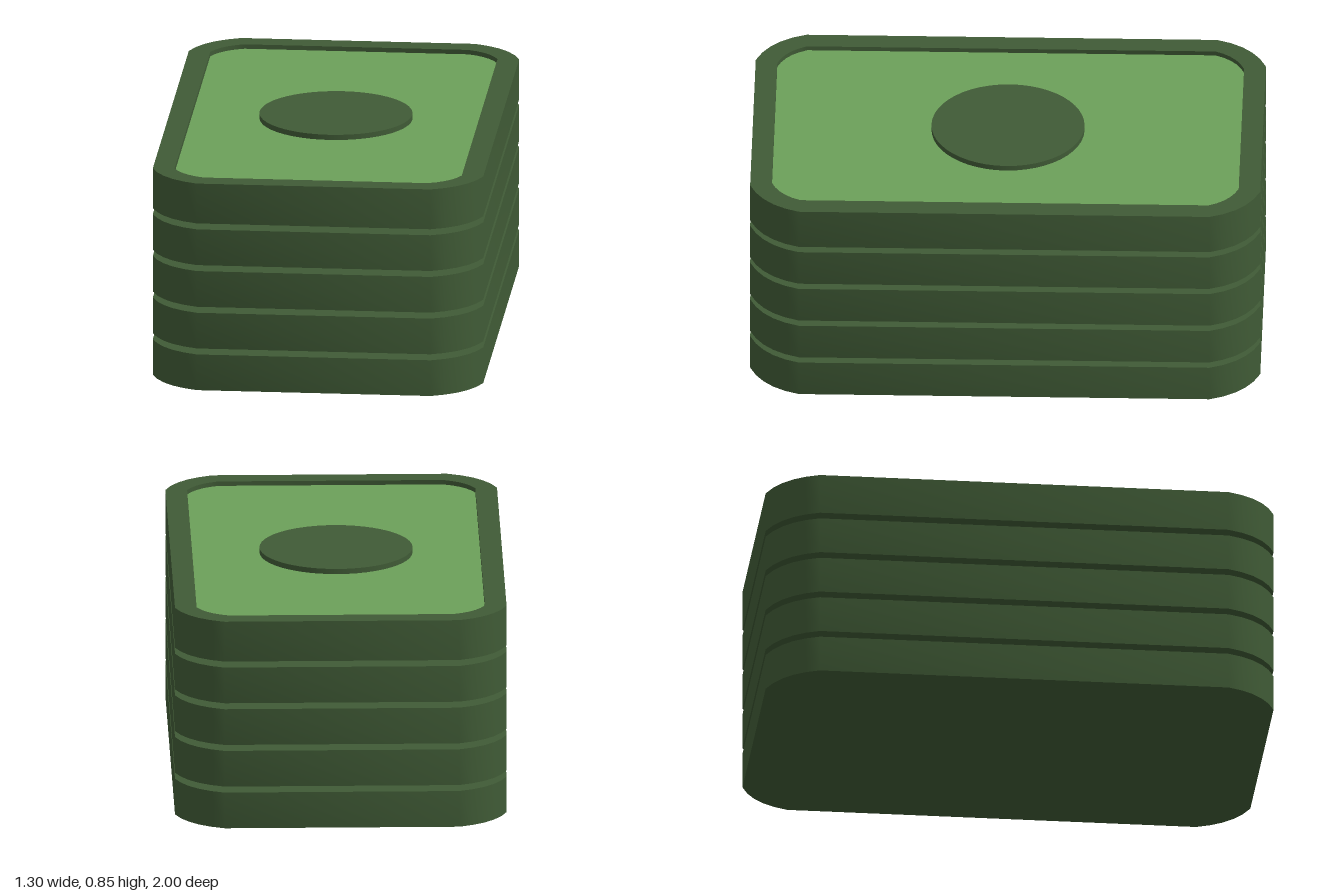
import * as THREE from 'three';
import { toCreasedNormals } from 'three/addons/utils/BufferGeometryUtils.js';

const dark = new THREE.MeshStandardMaterial({ color: 0x405b36 });
const green = new THREE.MeshStandardMaterial({ color: 0x6ca05a });

// Rectangle with softly cut corners; (cx, cz) is where the straight sides end,
// (qx, qz) bends the corner curve.
function outline(Type, x, z, cx, cz, qx, qz) {
  const s = new Type();
  s.moveTo(cx, -z);
  s.quadraticCurveTo(qx, -qz, x, -cz);
  s.lineTo(x, cz);
  s.quadraticCurveTo(qx, qz, cx, z);
  s.lineTo(-cx, z);
  s.quadraticCurveTo(-qx, qz, -x, cz);
  s.lineTo(-x, -cz);
  s.quadraticCurveTo(-qx, -qz, -cx, -z);
  s.closePath();
  return s;
}
const outer = (Type) => outline(Type, 0.65, 1, 0.46, 0.805, 0.605, 0.95);
const inner = (Type) => outline(Type, 0.565, 0.915, 0.44, 0.8, 0.53, 0.885);

function add(parent, name, geometry, material, y) {
  const mesh = new THREE.Mesh(geometry, material);
  mesh.name = name;
  mesh.position.y = y;
  parent.add(mesh);
}

// One bundle: rim wall, underside, recessed panel and centre disc
function makeBundle(height) {
  const bundle = new THREE.Group();
  const recess = 0.018;

  const frame = outer(THREE.Shape);
  frame.holes.push(inner(THREE.Path));
  const rim = new THREE.ExtrudeGeometry(frame, { depth: height, bevelEnabled: false, curveSegments: 5 });
  rim.rotateX(-Math.PI / 2);
  add(bundle, 'rim', toCreasedNormals(rim, 0.7), dark, 0);

  const base = new THREE.ShapeGeometry(inner(THREE.Shape), 5).rotateX(Math.PI / 2);
  add(bundle, 'underside', base, dark, 0);

  const panel = new THREE.ShapeGeometry(inner(THREE.Shape), 5).rotateX(-Math.PI / 2);
  add(bundle, 'panel', panel, green, height - recess);

  const thickness = recess + 0.003;
  const disc = new THREE.CylinderGeometry(0.3, 0.3, thickness, 48);
  add(bundle, 'disc', disc, dark, height - recess + thickness / 2);
  return bundle;
}

export function createModel() {
  const model = new THREE.Group();
  model.name = 'stackedBundles';
  const count = 5;
  for (let i = 0; i < count; i++) {
    // The top bundle is slightly thicker
    const bundle = makeBundle(i === count - 1 ? 0.163 : 0.146);
    bundle.name = `bundle${i + 1}`;
    bundle.position.y = i * 0.1705;
    model.add(bundle);
  }
  return model;
}
